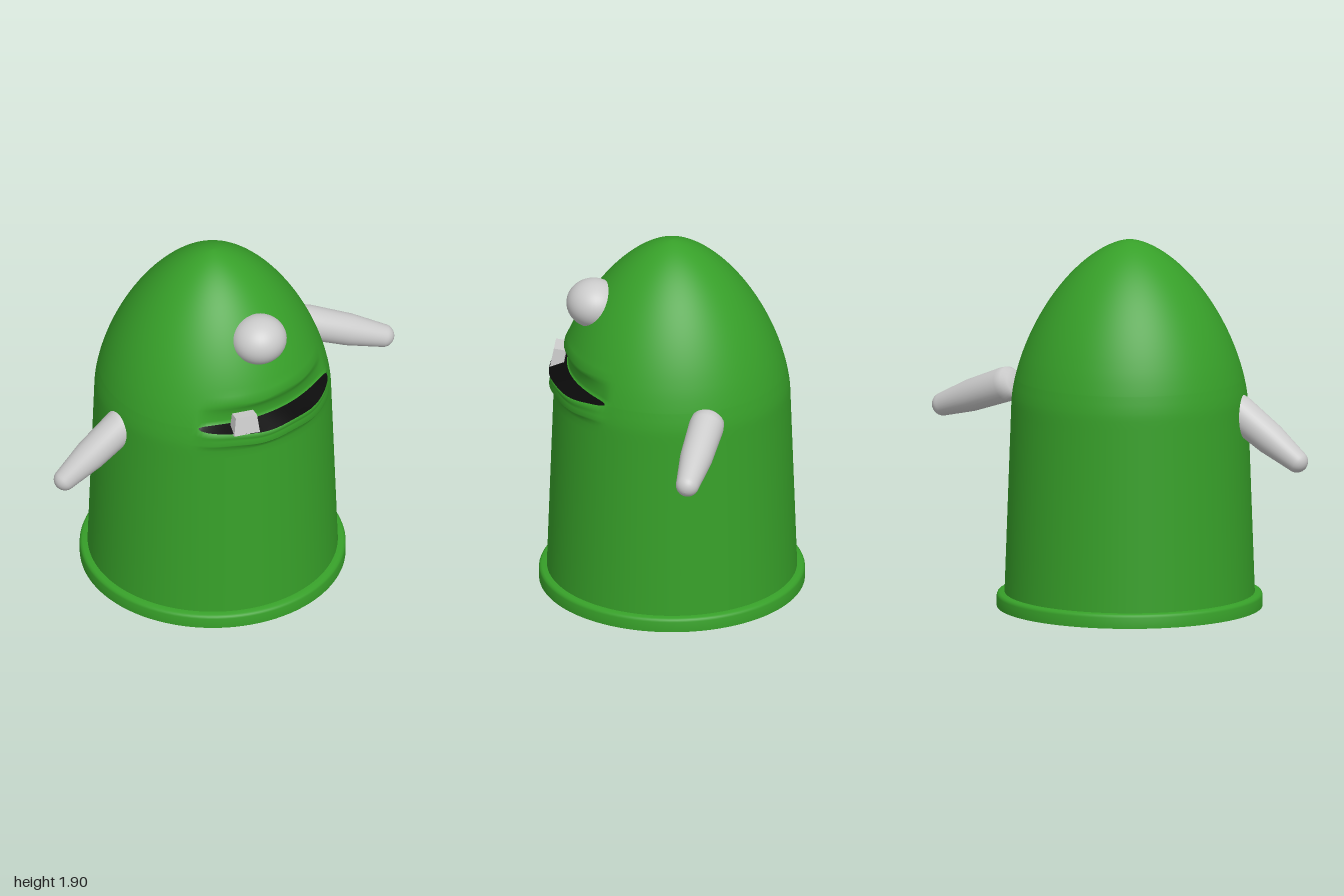
import * as THREE from 'three';
import { toCreasedNormals } from 'three/addons/utils/BufferGeometryUtils.js';

const CX = -0.053, SEG = 144;
const mat = (color) => new THREE.MeshStandardMaterial({ color, side: THREE.DoubleSide });

// Wall tapers gently to y = 1.05, then closes into a rounded dome
function radius(y) {
  if (y < 1.05) return THREE.MathUtils.lerp(0.64, 0.605, (y - 0.07) / 0.98);
  const t = Math.min(1, (y - 1.05) / 0.85);
  return 0.605 * Math.pow(1 - Math.pow(t, 1.6), 0.6);
}

// Point on a row [height, lip push, lip shift]; the mouth fades out sideways
function bodyPoint([y, push = 0, shift = 0], phi) {
  const t = (phi + 0.05) / 0.76;
  const w = Math.pow(Math.max(0, 1 - t * t), 0.6);
  const wave = push > 0 ? 0.006 * Math.sin(11 * phi + 1) * w : 0;
  const r = radius(y) + push * w;
  return new THREE.Vector3(CX + r * Math.sin(phi), y + shift * w + wave, r * Math.cos(phi));
}

// Joins rows of points into a surface
function skin(rows, closed) {
  const n = rows[0].length, pos = [], idx = [];
  rows.forEach((row) => row.forEach((p) => pos.push(p.x, p.y, p.z)));
  for (let j = 0; j < rows.length - 1; j++) {
    for (let i = 0; i < (closed ? n : n - 1); i++) {
      const a = j * n + i, b = j * n + (i + 1) % n;
      idx.push(a, b, b + n, a, b + n, a + n);
    }
  }
  const g = new THREE.BufferGeometry();
  g.setAttribute('position', new THREE.Float32BufferAttribute(pos, 3));
  g.setIndex(idx);
  g.computeVertexNormals();
  return g;
}

// Tapered limb with a rounded tip, from root to tip
function limb(root, tip, r0, r1) {
  const a = new THREE.Vector3(...root), d = new THREE.Vector3(...tip).sub(a), len = d.length();
  const pts = [new THREE.Vector2(0, 0), new THREE.Vector2(r0 * 0.7, 0.005),
    new THREE.Vector2(r0 * 0.95, 0.03), new THREE.Vector2(r0, 0.07),
    new THREE.Vector2((r0 + r1) / 2 + 0.008, len * 0.55)];
  for (let i = 0; i <= 8; i++) {
    const q = (i / 8) * Math.PI / 2;
    pts.push(new THREE.Vector2(r1 * Math.cos(q), len - r1 + r1 * Math.sin(q)));
  }
  const m = new THREE.Mesh(new THREE.LatheGeometry(pts, 32), mat(0xcccccc));
  m.position.copy(a);
  m.quaternion.setFromUnitVectors(new THREE.Vector3(0, 1, 0), d.normalize());
  return m;
}

export function createModel() {
  const group = new THREE.Group();
  const add = (name, mesh) => { mesh.name = name; group.add(mesh); return mesh; };
  const green = mat(0x37a029);

  // Hollow body with the lips pushed out of the front
  const lowerLip = [1.185, 0.04, -0.022], upperLip = [1.19, -0.055, 0.004];
  const rows = [[0.07], [0.3], [0.55], [0.8], [0.95], [1.02], [1.06], [1.085, 0.008],
    [1.1, 0.028], [1.12, 0.016], [1.145, 0.03, -0.008], lowerLip, upperLip,
    [1.215, -0.05], [1.25, -0.042], [1.28, -0.018], [1.31, 0.004], [1.35]];
  for (let i = 1; i <= 24; i++) rows.push([1.35 + 0.55 * Math.sin((i / 24) * Math.PI / 2)]);
  const grid = rows.map((row) => Array.from({ length: SEG },
    (_, i) => bodyPoint(row, -Math.PI + (i / SEG) * Math.PI * 2)));
  add('body', new THREE.Mesh(skin(grid, true), green));

  // Dark mouth strip lying between the lips
  const across = Array.from({ length: 65 }, (_, i) => -0.81 + (i / 64) * 1.52);
  const strip = [0, 0.5, 1].map((k) => across.map((phi) => {
    const p = bodyPoint(lowerLip, phi).lerp(bodyPoint(upperLip, phi), k);
    p.x += 0.005 * Math.sin(phi);
    p.z += 0.005 * Math.cos(phi);
    p.y += 0.004;
    return p;
  }));
  add('mouth', new THREE.Mesh(skin(strip, false), mat(0x0a0a0a)));

  // Base rim
  const rim = [[0.68, 0], [0.68, 0.055], [0.676, 0.066], [0.666, 0.072], [0.636, 0.074]]
    .map((p) => new THREE.Vector2(...p));
  add('baseRim', new THREE.Mesh(toCreasedNormals(new THREE.LatheGeometry(rim, 96), 0.7), green))
    .position.x = CX;

  // Single eye
  const eye = add('eye', new THREE.Mesh(new THREE.SphereGeometry(1, 40, 28), mat(0xcccccc)));
  eye.scale.set(0.145, 0.125, 0.14);
  eye.position.set(-0.08, 1.575, 0.405);

  // Tooth, narrower at the top
  const box = new THREE.BoxGeometry(0.14, 0.1, 0.07);
  const p = box.attributes.position;
  for (let i = 0; i < p.count; i++) {
    if (p.getY(i) > 0) p.setXYZ(i, p.getX(i) * 0.82, p.getY(i), p.getZ(i) * 0.85);
  }
  box.computeVertexNormals();
  const tooth = add('tooth', new THREE.Mesh(box, mat(0xcccccc)));
  tooth.position.set(-0.282, 1.212, 0.537);
  tooth.rotation.set(-0.15, -0.33, -0.08);

  // Arms
  add('leftArm', limb([0.53, 1.155, -0.055], [0.99, 0.965, 0.185], 0.09, 0.06));
  add('rightArm', limb([-0.57, 1.07, -0.03], [-0.985, 0.76, -0.12], 0.09, 0.058));
  return group;
}
